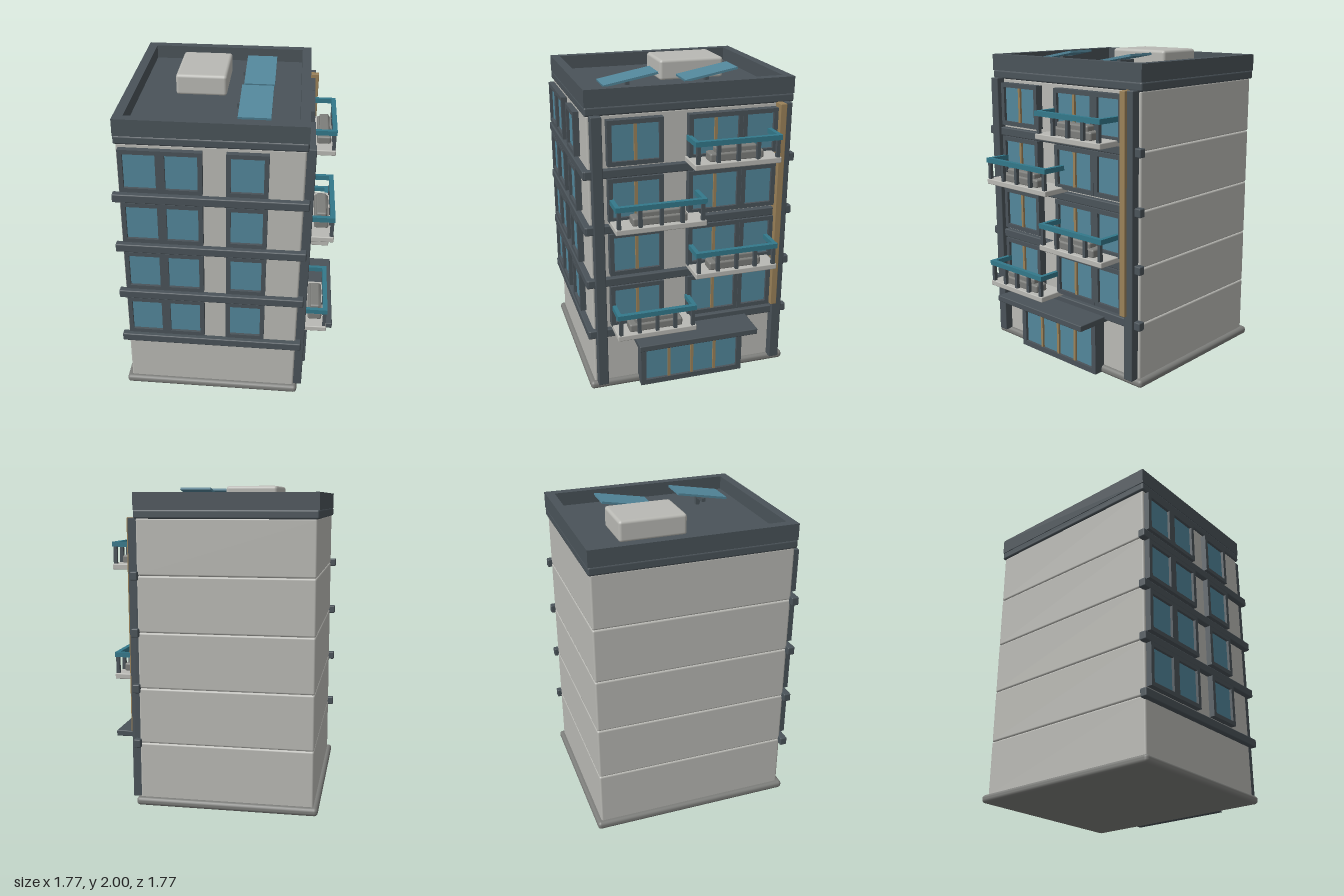
import * as THREE from 'three';
import { RoundedBoxGeometry } from 'three/addons/geometries/RoundedBoxGeometry.js';

const material = (name, color) => {
  const m = new THREE.MeshStandardMaterial({ color });
  m.name = name;
  return m;
};

export function createModel() {
  const wall = material('pale concrete', 0xb9b9b4);
  const stone = material('grey stone', 0x7c7d7a);
  const trim = material('dark trim', 0x4a5359);
  const glass = material('blue glass', 0x52869a);
  const rail = material('teal metal', 0x33788a);
  const wood = material('wood', 0x9a8158);

  const model = new THREE.Group();
  model.name = 'apartmentBuilding';
  const building = new THREE.Group();
  building.name = 'turnedBuilding';
  building.rotation.y = Math.PI / 4;
  model.add(building);

  // Box given by its limits; r rounds the edges
  function box(name, mat, [x0, x1], [y0, y1], [z0, z1], r = 0, parent = building) {
    const s = [x1 - x0, y1 - y0, z1 - z0];
    const geo = r ? new RoundedBoxGeometry(...s, 2, r) : new THREE.BoxGeometry(...s);
    const mesh = new THREE.Mesh(geo, mat);
    mesh.name = name;
    mesh.position.set((x0 + x1) / 2, (y0 + y1) / 2, (z0 + z1) / 2);
    parent.add(mesh);
    return mesh;
  }

  // Rectangular ring in the XY plane, extruded towards +z
  function ring(name, mat, w, h, border, depth) {
    const rect = (P, a, b) => new P([[-a, -b], [a, -b], [a, b], [-a, b]].map(p => new THREE.Vector2(...p)));
    const shape = rect(THREE.Shape, w / 2, h / 2);
    shape.holes.push(rect(THREE.Path, w / 2 - border, h / 2 - border));
    const mesh = new THREE.Mesh(new THREE.ExtrudeGeometry(shape, { depth, bevelEnabled: false }), mat);
    mesh.name = name;
    return mesh;
  }

  // Framed window with evenly spaced wooden mullions, facing +z
  function framedWindow(name, w, h, border, depth, mullions) {
    const g = new THREE.Group();
    g.name = name;
    g.add(ring('frame', trim, w, h, border, depth));
    box('pane', glass, [-w / 2 + border, w / 2 - border], [-h / 2 + border, h / 2 - border],
      [0, depth - 0.018], 0, g);
    for (let i = 1; i <= mullions; i++) {
      const x = (i / (mullions + 1) - 0.5) * (w - 2 * border);
      box('mullion', wood, [x - 0.009, x + 0.009], [-h / 2 + border, h / 2 - border],
        [0, depth - 0.004], 0, g);
    }
    building.add(g);
    return g;
  }

  // Base and stacked storeys
  box('base', stone, [-0.66, 0.675], [0, 0.052], [-0.585, 0.565], 0.022);
  const levels = [0.04, 0.405, 0.757, 1.108, 1.459, 1.808];
  for (let i = 0; i < 5; i++) {
    box('storey', wall, [-0.63, 0.645], [levels[i], levels[i + 1]], [-0.555, 0.54], 0.012);
  }

  // Ledges along the two street sides
  for (let i = 1; i < 5; i++) {
    const y = [levels[i] - 0.027, levels[i] + 0.027];
    box('frontLedge', trim, [-0.66, 0.672], y, [0.53, 0.575], 0.007);
    box('sideLedge', trim, [-0.667, -0.62], y, [-0.592, 0.573], 0.007);
  }

  // Corner posts and the wooden strip
  box('cornerPost', trim, [-0.615, -0.55], [0.045, 1.81], [0.53, 0.595], 0.005);
  box('cornerPost', trim, [0.565, 0.63], [0.045, 1.81], [0.53, 0.595], 0.005);
  box('woodStrip', wood, [0.545, 0.587], [0.46, 1.81], [0.54, 0.615], 0.004);

  // Windows on every upper floor
  for (let i = 0; i < 4; i++) {
    const y = 0.595 + 0.35 * i;
    for (const [x, w, n] of [[-0.35, 0.34, 1], [0.146, 0.34, 1], [0.43, 0.225, 0]]) {
      framedWindow('frontWindow', w, 0.275, 0.027, 0.055, n).position.set(x, y, 0.535);
    }
    for (const z of [-0.418, -0.173, 0.21]) {
      const win = framedWindow('sideWindow', 0.245, 0.275, 0.027, 0.042, 0);
      win.position.set(-0.625, y, z);
      win.rotation.y = -Math.PI / 2;
    }
  }

  // Entrance with canopy
  framedWindow('entrance', 0.69, 0.385, 0.035, 0.09, 3).position.set(0.003, 0.2025, 0.53);
  box('canopy', trim, [-0.39, 0.385], [0.36, 0.398], [0.53, 0.783], 0.005);

  // Balconies: slab, U-shaped rail, posts and planter
  const balconies = [[-0.515, -0.01], [-0.02, 0.515], [-0.515, 0.045], [-0.035, 0.51]];
  balconies.forEach(([a, b], i) => {
    const g = new THREE.Group();
    g.name = 'balcony';
    g.position.y = 0.43 + 0.351 * i;
    building.add(g);
    box('slab', wall, [a, b], [0, 0.036], [0.54, 0.737], 0.006, g);
    const h = [0.143, 0.174];
    box('frontRail', rail, [a, b], h, [0.708, 0.737], 0, g);
    box('sideRail', rail, [a, a + 0.026], h, [0.57, 0.71], 0, g);
    box('sideRail', rail, [b - 0.026, b], h, [0.57, 0.71], 0, g);
    for (let k = 0; k < 5; k++) {
      const x = a + 0.022 + (b - a - 0.044) * k / 4;
      box('railPost', trim, [x - 0.011, x + 0.011], [0.03, 0.145], [0.711, 0.733], 0, g);
    }
    const c = (a + b) / 2;
    box('planter', stone, [c - 0.17, c + 0.17], [0.03, 0.085], [0.615, 0.705], 0.012, g);
    box('planterTop', stone, [c - 0.13, c + 0.13], [0.075, 0.118], [0.628, 0.692], 0.012, g);
  });

  // Cornice, parapet and roof deck
  box('cornice', trim, [-0.642, 0.658], [1.803, 1.858], [-0.567, 0.552], 0.012);
  const parapet = ring('parapet', trim, 1.3, 1.119, 0.058, 0.104);
  parapet.rotation.x = -Math.PI / 2;
  parapet.position.set(0.008, 1.856, -0.0075);
  building.add(parapet);
  box('roofDeck', trim, [-0.6, 0.62], [1.85, 1.872], [-0.53, 0.515]);
  box('roofHousing', wall, [-0.038, 0.392], [1.865, 2], [-0.287, 0.033], 0.02);

  // Tilted solar panels on short stands
  for (const x of [-0.306, 0.206]) {
    const panel = box('solarPanel', glass, [x - 0.172, x + 0.172], [1.946, 1.96], [0.135, 0.328]);
    panel.rotation.z = 0.18;
    box('panelStand', trim, [x - 0.013, x + 0.013], [1.865, 1.948], [0.218, 0.246]);
    box('panelBracket', trim, [x - 0.013, x + 0.013], [1.92, 1.944], [0.118, 0.246]);
  }
  return model;
}
